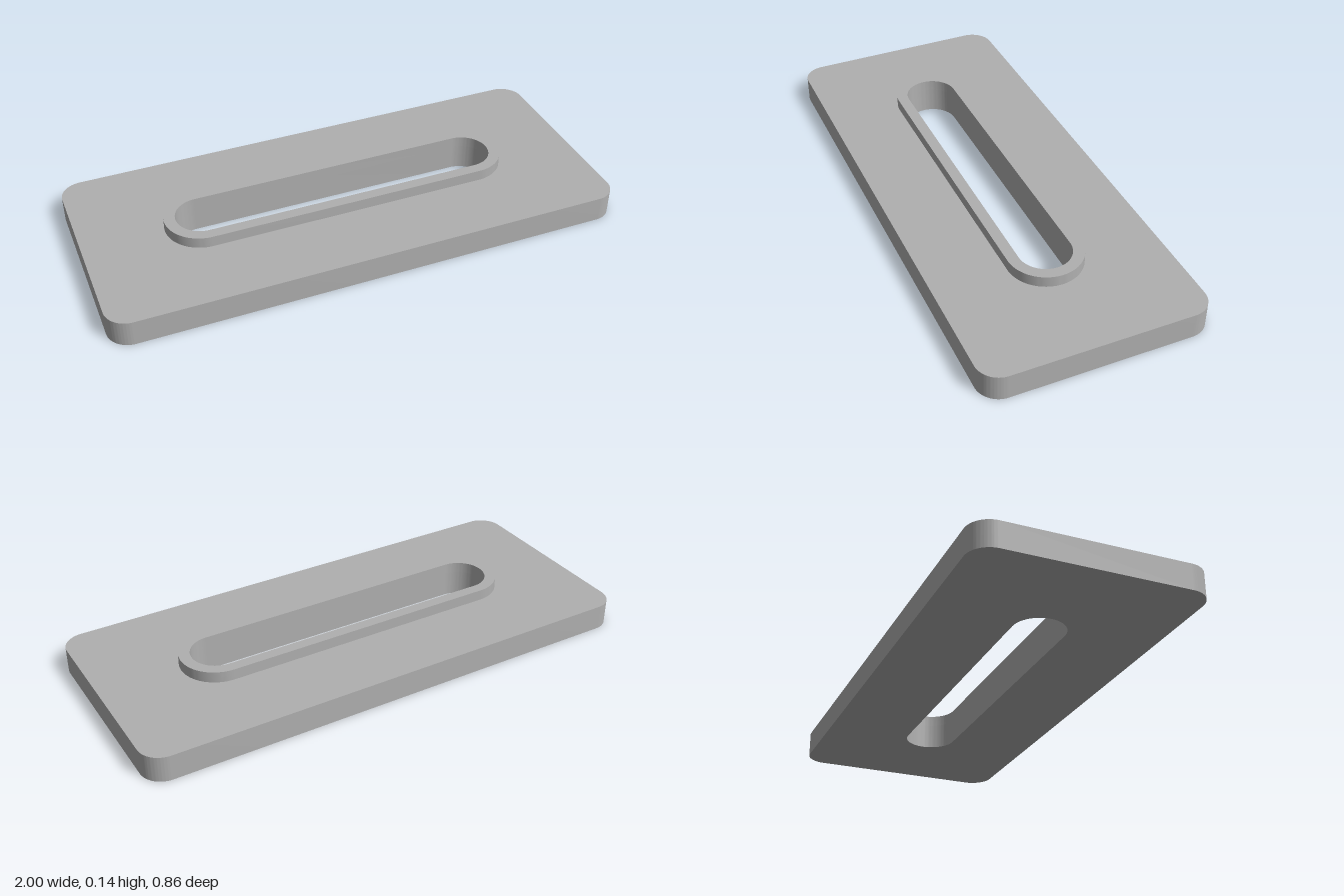
import * as THREE from 'three';
import { toCreasedNormals } from 'three/addons/utils/BufferGeometryUtils.js';

const PLATE_HEIGHT = 0.1;
const RIM_HEIGHT = 0.043;
const SLOT_CENTRE = 0.543; // x of the slot's end arcs
const SLOT_RADIUS = 0.1;
const RIM_RADIUS = 0.143;

// Rectangle with rounded corners, from half sizes and corner radius
function roundedOutline(path, hx, hy, r) {
  path.absarc(hx - r, hy - r, r, 0, Math.PI / 2);
  path.absarc(r - hx, hy - r, r, Math.PI / 2, Math.PI);
  path.absarc(r - hx, r - hy, r, Math.PI, Math.PI * 1.5);
  path.absarc(hx - r, r - hy, r, Math.PI * 1.5, Math.PI * 2);
  path.closePath();
  return path;
}

// Straight-sided outline with semicircular ends
function slotOutline(path, r) {
  path.absarc(SLOT_CENTRE, 0, r, -Math.PI / 2, Math.PI / 2);
  path.absarc(-SLOT_CENTRE, 0, r, Math.PI / 2, Math.PI * 1.5);
  path.closePath();
  return path;
}

// Upright slotted solid with smooth arcs and sharp edges
function slottedPart(name, shape, height, y, material) {
  shape.holes.push(slotOutline(new THREE.Path(), SLOT_RADIUS));
  const solid = new THREE.ExtrudeGeometry(shape, { depth: height, bevelEnabled: false, curveSegments: 24 });
  solid.rotateX(-Math.PI / 2).translate(0, y, 0);
  const mesh = new THREE.Mesh(toCreasedNormals(solid, Math.PI / 6), material);
  mesh.name = name;
  return mesh;
}

export function createModel() {
  const grey = new THREE.MeshStandardMaterial({ color: 0xb0b0b0 });
  grey.name = 'grey';

  const model = new THREE.Group();
  model.name = 'slottedPlate';
  model.add(
    // Flat base plate with the slot cut through it
    slottedPart('basePlate', roundedOutline(new THREE.Shape(), 1, 0.4286, 0.0857), PLATE_HEIGHT, 0, grey),
    // Raised rim around the slot
    slottedPart('slotRim', slotOutline(new THREE.Shape(), RIM_RADIUS), RIM_HEIGHT, PLATE_HEIGHT, grey)
  );
  return model;
}
